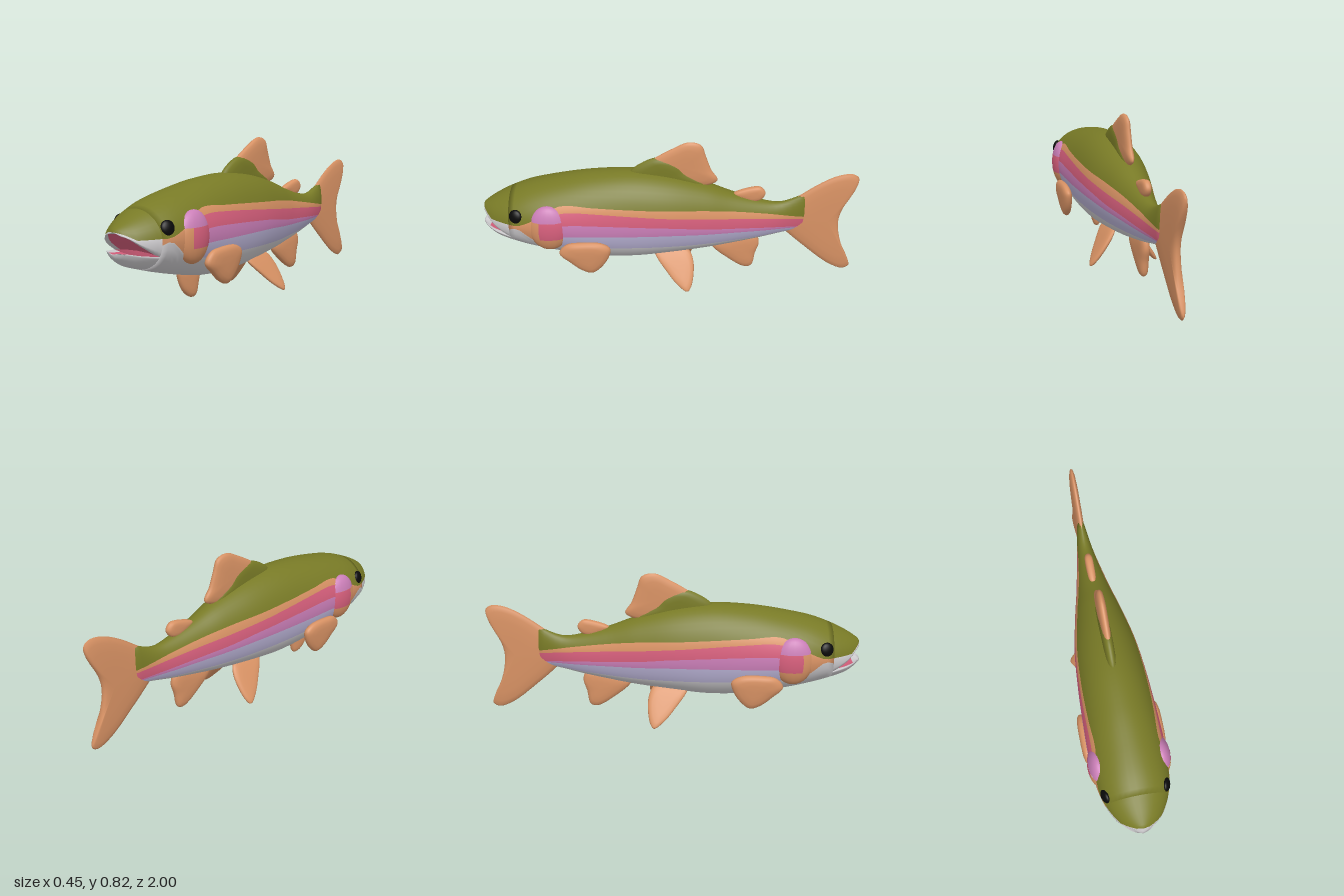
import * as THREE from 'three';

const paint = (name, color, side = THREE.FrontSide) => {
  const m = new THREE.MeshStandardMaterial({ color, side });
  m.name = name;
  return m;
};

// Sections from nose to tail: z, back height, belly height, half width
const SECTIONS = [
  [1, .452, .342, .02], [.985, .466, .328, .055], [.96, .483, .31, .088], [.92, .507, .285, .122],
  [.84, .545, .258, .163], [.73, .585, .225, .19], [.57, .62, .185, .2], [.41, .645, .155, .197],
  [.2, .655, .146, .187], [0, .63, .166, .168], [-.2, .575, .192, .13], [-.34, .522, .217, .098],
  [-.5, .475, .25, .065], [-.6, .466, .275, .045], [-.72, .515, .3, .024],
];
// Heights of the stripe borders: z, grey, lavender, pink, red, orange (upper limits)
const STRIPES = [
  [.84, .38, .39, .40, .41, .42], [.79, .395, .40, .405, .412, .42], [.7, .31, .33, .39, .43, .46],
  [.57, .29, .36, .43, .495, .53], [.4, .28, .36, .43, .495, .525], [0, .265, .35, .40, .455, .495],
  [-.2, .26, .335, .37, .43, .475], [-.5, .275, .32, .34, .395, .425], [-.72, .31, .315, .32, .37, .385],
];
// Mouth edges: z, upper lip, lower lip
const LIPS = [[1, .447, .36], [.97, .43, .358], [.92, .388, .347], [.84, .335, .335]];

// Smooth lookup in a table sorted by falling z
function look(table, z) {
  const n = table.length;
  let i = 0;
  while (i < n - 2 && z < table[i + 1][0]) i++;
  const p = table[i], q = table[i + 1], o = table[Math.max(i - 1, 0)], r = table[Math.min(i + 2, n - 1)];
  const d = q[0] - p[0], t = (z - p[0]) / d;
  return p.slice(1).map((v, k) => {
    k++;
    const m0 = (q[k] - o[k]) / (q[0] - o[0]) * d, m1 = (r[k] - p[k]) / (r[0] - p[0]) * d;
    return v * (1 + 2 * t) * (1 - t) ** 2 + m0 * t * (1 - t) ** 2 + q[k] * t * t * (3 - 2 * t) + m1 * t * t * (t - 1);
  });
}

// Skin closed rings; pick(i, j) gives the material number of each patch
function loft(name, rings, materials, pick = () => 0) {
  const n = rings[0].length, lists = materials.map(() => []);
  for (let i = 0; i < rings.length - 1; i++) {
    for (let j = 0; j < n; j++) {
      const a = i * n + j, b = i * n + (j + 1) % n, c = a + n, d = b + n;
      lists[pick(i, j)].push(a, c, b, b, c, d);
    }
  }
  const g = new THREE.BufferGeometry();
  g.setAttribute('position', new THREE.Float32BufferAttribute(rings.flat(2), 3));
  g.setIndex(lists.flat());
  let start = 0;
  lists.forEach((l, k) => { g.addGroup(start, l.length, k); start += l.length; });
  g.computeVertexNormals();
  const mesh = new THREE.Mesh(g, materials);
  mesh.name = name;
  return mesh;
}

const ellipse = z => {
  const [top, low, w] = look(SECTIONS, z), c = (top + low) / 2, h = (top - low) / 2;
  return {
    point: a => [w * Math.cos(a), c + h * Math.sin(a), z],
    angle: y => Math.asin(THREE.MathUtils.clamp((y - c) / h, -.999, .999)),
  };
};
const collapse = (ring, x, y, z) => ring.map(() => [x, y, z]);
// Split the spans between successive angles into steps
const spread = (stops, steps) => steps.flatMap((n, k) =>
  Array.from({ length: n }, (_, i) => stops[k] + (stops[k + 1] - stops[k]) * i / n));

// Puffed fin from an outline of [z, y] points; shift(y) places it sideways
function fin(name, outline, thick, material, shift = () => 0) {
  const curve = new THREE.CatmullRomCurve3(outline.map(([z, y]) => new THREE.Vector3(0, y, z)), true, 'centripetal');
  const pts = curve.getPoints(56).slice(0, -1);
  let area = 0;
  pts.forEach((p, i) => { const q = pts[(i + 1) % pts.length]; area += -p.z * q.y + q.z * p.y; });
  if (area < 0) pts.reverse();
  const mid = pts.reduce((s, p) => s.add(p), new THREE.Vector3()).divideScalar(pts.length);
  const scales = [0, .4, .7, .88, .97, 1, .97, .88, .7, .4, 0];
  const rings = scales.map((s, i) => pts.map(p => {
    const y = mid.y + (p.y - mid.y) * s, z = mid.z + (p.z - mid.z) * s;
    return [shift(y) + Math.sign(5 - i) * thick * Math.sqrt(1 - s ** 5), y, z];
  }));
  return loft(name, rings, [material]);
}

export function createModel() {
  const fish = new THREE.Group();
  fish.name = 'fish';
  const grey = paint('belly grey', 0xcfcdd0), lavender = paint('lavender', 0xbab3d6);
  const pink = paint('lilac pink', 0xcb7fb8), red = paint('rose red', 0xd65f7c);
  const orange = paint('fin orange', 0xd89264), olive = paint('olive green', 0x787a26);
  const black = paint('eye black', 0x0a0a0a);

  // Body with stripes along the rings
  const steps = [8, 2, 2, 2, 2, 8];
  const band = steps.flatMap((n, k) => Array(n).fill(k));
  const bands = [...band, ...band.slice().reverse()];
  const zs = Array.from({ length: 53 }, (_, i) => .84 - 1.56 * i / 52);
  const rings = zs.map(z => {
    const e = ellipse(z);
    const stops = [-Math.PI / 2, ...look(STRIPES, z).map(e.angle), Math.PI / 2];
    const half = spread(stops, steps);
    return [...half, Math.PI / 2, ...half.slice(1).reverse().map(a => Math.PI - a)].map(e.point);
  });
  rings.unshift(collapse(rings[0], 0, .36, .83));
  rings.push(collapse(rings[0], 0, .4, -.75));
  const headBands = [0, 0, 4, 4, 4, 5];
  fish.add(loft('body', rings, [grey, lavender, pink, red, orange, olive], (i, j) => {
    if (i === 0) return 3;
    return zs[i - 1] > .59 ? headBands[bands[j]] : bands[j];
  }));

  // Jaws: outer arc plus an inner roof or floor of the mouth
  const jawZ = [.84, .86, .88, .9, .92, .94, .96, .975, .985];
  const inner = (left, right, y, z, bulge) => [1 / 8, 1 / 4, 1 / 2, 3 / 4, 7 / 8].map(t =>
    [left + (right - left) * t, y + bulge * 4 * t * (1 - t), z]);
  const upper = jawZ.slice().reverse().map(z => {
    const e = ellipse(z), m = look(LIPS, z)[0], a = e.angle(m), b = e.angle(Math.max(.42, m + .012));
    const arc = [...spread([a, b, Math.PI - b, Math.PI - a], [4, 16, 4]), Math.PI - a].map(e.point);
    return [...arc, ...inner(arc[24][0], arc[0][0], m, z, .012)];
  });
  upper.unshift(collapse(upper[0], 0, .455, .991));
  fish.add(loft('upperJaw', upper, [grey, olive, red], (i, j) =>
    j >= 4 && j < 20 ? 1 : j > 24 && j < 29 && i > 1 ? 2 : 0));

  const lower = [...jawZ, .995].reverse().map(z => {
    const e = ellipse(z), m = look(LIPS, z)[1], a = e.angle(m);
    const arc = [...spread([Math.PI - a, 2 * Math.PI + a], [24]), 2 * Math.PI + a].map(e.point);
    return [...arc, ...inner(arc[24][0], arc[0][0], m, z, -.015)];
  });
  lower.unshift(collapse(lower[0], 0, .352, 1));
  fish.add(loft('lowerJaw', lower, [grey, red], (i, j) => (j > 24 && j < 29 && i > 3 ? 1 : 0)));

  // Fins on the centre line
  fish.add(fin('tailFin', [[-.6, .43], [-.705, .513], [-.8, .58], [-.89, .625], [-.965, .635], [-1, .61],
    [-.99, .55], [-.93, .425], [-.915, .34], [-.94, .21], [-.99, .1], [-1, .055], [-.965, .035],
    [-.88, .07], [-.745, .18], [-.64, .275], [-.6, .32]], .021, orange));
  fish.add(fin('dorsalFin', [[.18, .65], [.09, .72], [-.02, .785], [-.1, .82], [-.165, .803], [-.19, .74],
    [-.22, .66], [-.255, .6], [-.22, .573], [-.07, .56], [.1, .6]], .022, orange));
  fish.add(fin('dorsalFinBase', [[.21, .64], [.1, .722], [.03, .728], [-.05, .695], [-.1, .645],
    [-.2, .565], [-.05, .53], [.1, .56]], .027, olive));
  fish.add(fin('adiposeFin', [[-.34, .515], [-.42, .55], [-.485, .555], [-.512, .52], [-.49, .482],
    [-.43, .47]], .022, orange));
  fish.add(fin('analFin', [[-.23, .2], [-.33, .1], [-.42, .048], [-.457, .058], [-.475, .14], [-.492, .21],
    [-.47, .26], [-.35, .25]], .025, orange));
  fish.add(fin('throatFin', [[.56, .2], [.555, .16], [.52, .09], [.465, .05], [.43, .055], [.41, .115],
    [.4, .18], [.48, .21]], .022, orange));

  // Paired fins, eyes and gill covers
  for (const s of [1, -1]) {
    const side = s > 0 ? 'left' : 'right';
    fish.add(fin(side + 'PectoralFin', [[.58, .265], [.545, .315], [.465, .33], [.355, .325], [.31, .295],
      [.315, .25], [.355, .18], [.41, .137], [.465, .155], [.53, .21]], .028, orange,
    y => s * (.19 + (y - .14) * .06)));
    fish.add(fin(side + 'PelvicFin', [[.08, .19], [.01, .09], [-.05, .03], [-.1, .002], [-.122, .03],
      [-.132, .14], [-.1, .2], [0, .21]], .02, orange, y => s * (.075 + (.165 - y) * .66)));

    const eye = new THREE.Mesh(new THREE.SphereGeometry(1, 24, 16), black);
    eye.name = side + 'Eye';
    eye.scale.set(.018, .037, .036);
    eye.position.set(s * .157, .465, .8);
    eye.rotation.set(0, -s * .3, s * .25);
    fish.add(eye);

    // Gill cover in lilac, rose and orange patches; phi 90 degrees faces the front
    const gill = new THREE.Group();
    gill.name = side + 'GillCover';
    const patch = (name, phi0, phi1, t0, t1, mat) => {
      const m = new THREE.Mesh(new THREE.SphereGeometry(1, 16, 10, phi0, phi1 - phi0, t0, t1 - t0), mat);
      m.name = name;
      gill.add(m);
    };
    const P = Math.PI, split = s > 0 ? P * .85 : P * .15;
    const front = s > 0 ? [P * .5, split] : [split, P * .5];
    const back = s > 0 ? [split, P * 1.5] : [-P * .5, split];
    patch('gillTop', 0, 2 * P, 0, P * .37, pink);
    patch('gillFront', ...front, P * .37, P * .62, orange);
    patch('gillBack', ...back, P * .37, P * .62, red);
    patch('gillLower', 0, 2 * P, P * .62, P, orange);
    gill.scale.set(.055, .13, .105);
    gill.position.set(s * .162, .4, .63);
    fish.add(gill);
  }
  return fish;
}
